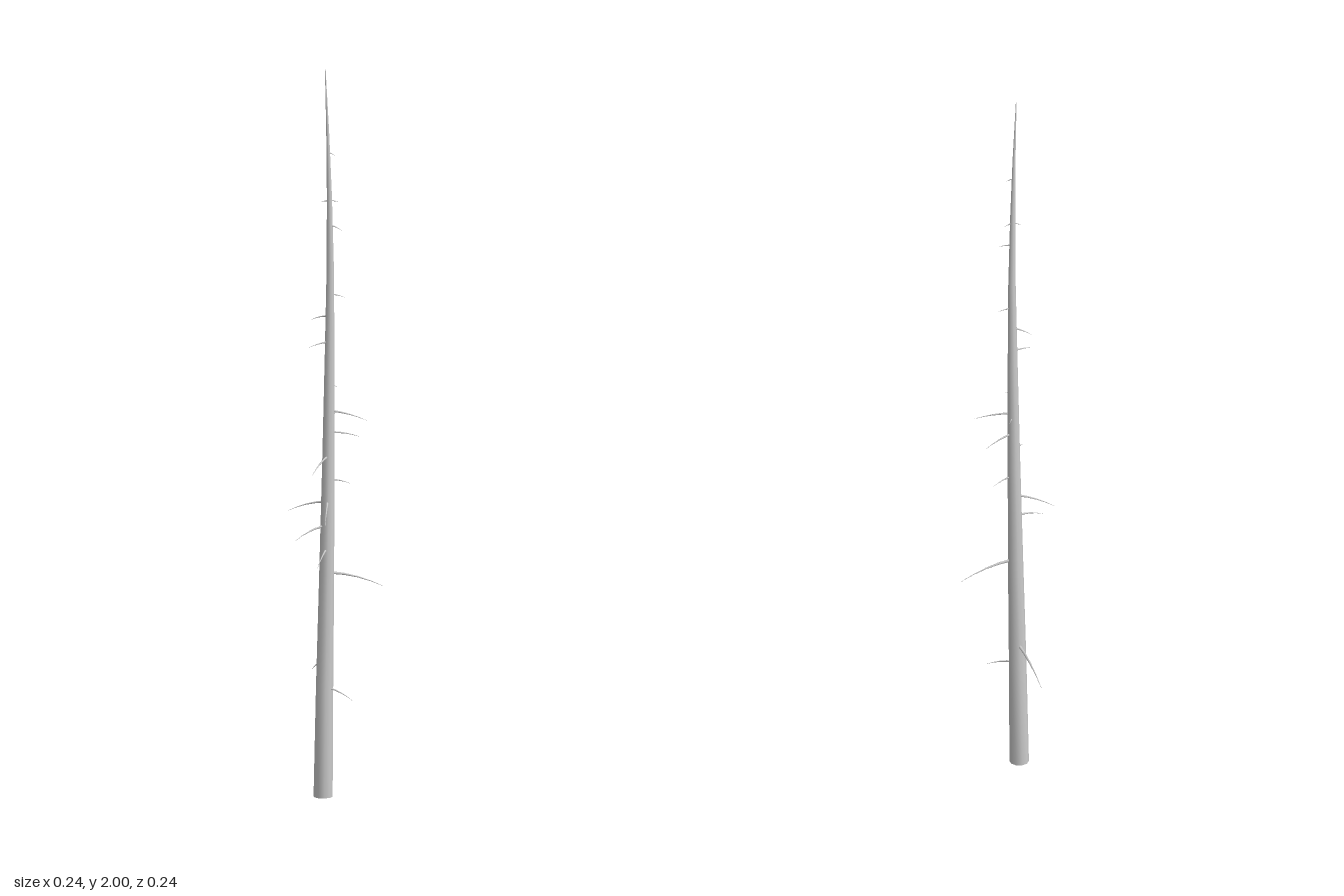
import * as THREE from 'three';

// Trunk stations: x, y, z, radius
const TRUNK = [
  [-0.015, 0, 0.010, 0.026], [-0.011, 0.3, 0.009, 0.0235], [-0.006, 0.6, 0.007, 0.0205],
  [-0.002, 0.9, 0.005, 0.017], [0.001, 1.2, 0.003, 0.0135], [0.003, 1.45, 0.003, 0.010],
  [0.002, 1.65, 0.006, 0.007], [0.0, 1.83, 0.012, 0.004], [-0.004, 2.0, 0.018, 0.001],
];

// Branches: height at the trunk, then tip x, y, z
const BRANCHES = [
  [0.30, 0.080, 0.275, 0.019], [0.36, -0.120, 0.31, -0.123], [0.615, 0.118, 0.573, -0.084],
  [0.68, 0.022, 0.65, 0.110], [0.745, -0.054, 0.715, 0.096], [0.81, -0.108, 0.78, 0.033],
  [0.81, 0.050, 0.77, 0.120], [0.87, 0.040, 0.855, -0.042], [0.935, 0.010, 0.905, 0.119],
  [1.00, 0.053, 0.98, -0.068], [1.06, 0.100, 1.04, -0.021], [1.13, 0.018, 1.125, -0.008],
  [1.05, 0.000, 1.045, -0.028], [1.25, -0.035, 1.24, 0.055], [1.32, -0.053, 1.305, 0.008],
  [1.38, 0.037, 1.372, -0.014], [1.57, 0.040, 1.56, 0.006], [1.638, -0.020, 1.633, 0.013],
  [1.638, 0.021, 1.632, -0.012], [1.77, 0.020, 1.762, 0.006],
];

// Tapered tube through rings of [centre, radius], each ring spanned by two axes
function taperedTube(rings, sides, u, v) {
  const pos = [], index = [];
  for (const [c, r] of rings) {
    for (let i = 0; i < sides; i++) {
      const a = (i / sides) * Math.PI * 2;
      const p = c.clone().addScaledVector(u, Math.cos(a) * r).addScaledVector(v, Math.sin(a) * r);
      pos.push(p.x, p.y, p.z);
    }
  }
  for (let j = 0; j < rings.length - 1; j++) {
    for (let i = 0; i < sides; i++) {
      const a = j * sides + i, b = j * sides + (i + 1) % sides;
      index.push(a, b, a + sides, b, b + sides, a + sides);
    }
  }
  const g = new THREE.BufferGeometry();
  g.setAttribute('position', new THREE.Float32BufferAttribute(pos, 3));
  g.setIndex(index);
  g.computeVertexNormals();
  return g;
}

// Trunk centre and radius at a height
function trunkAt(y) {
  let i = 0;
  while (i < TRUNK.length - 2 && TRUNK[i + 1][1] < y) i++;
  const a = TRUNK[i], b = TRUNK[i + 1], t = (y - a[1]) / (b[1] - a[1]);
  const [x, , z, r] = a.map((n, k) => n + (b[k] - n) * t);
  return { centre: new THREE.Vector3(x, y, z), r };
}

export function createModel() {
  const group = new THREE.Group();
  const mat = new THREE.MeshStandardMaterial({ color: 0xcccccc, side: THREE.DoubleSide });
  const add = (geometry, name) => {
    const mesh = new THREE.Mesh(geometry, mat);
    mesh.name = name;
    group.add(mesh);
    return mesh;
  };

  // Leaning trunk
  const rings = TRUNK.map(([x, y, z, r]) => [new THREE.Vector3(x, y, z), r]);
  add(taperedTube(rings, 10, new THREE.Vector3(0, 0, 1), new THREE.Vector3(1, 0, 0)), 'trunk');

  // Cut face under the trunk
  const base = add(new THREE.CircleGeometry(TRUNK[0][3], 10, Math.PI / 2), 'trunkBase');
  base.rotation.x = Math.PI / 2;
  base.position.set(TRUNK[0][0], 0, TRUNK[0][2]);

  // Drooping bare branches, arched from the trunk and tapering to a point
  for (const [y, tx, ty, tz] of BRANCHES) {
    const { centre, r } = trunkAt(y);
    const tip = new THREE.Vector3(tx, ty, tz);
    const out = tip.clone().sub(centre).setY(0).normalize();
    const start = centre.clone().addScaledVector(out, r * 0.6);
    const mid = start.clone().lerp(tip, 0.5);
    mid.y = y - (y - ty) * 0.15;
    const curve = new THREE.QuadraticBezierCurve3(start, mid, tip);
    const thick = 0.0018 + 0.016 * start.distanceTo(tip);
    const side = new THREE.Vector3(out.z, 0, -out.x);
    const parts = [0, 0.25, 0.5, 0.75, 1].map(t => [curve.getPoint(t), thick * (1 - 0.9 * t)]);
    add(taperedTube(parts, 5, side, new THREE.Vector3(0, 1, 0)), 'branch');
  }
  return group;
}
